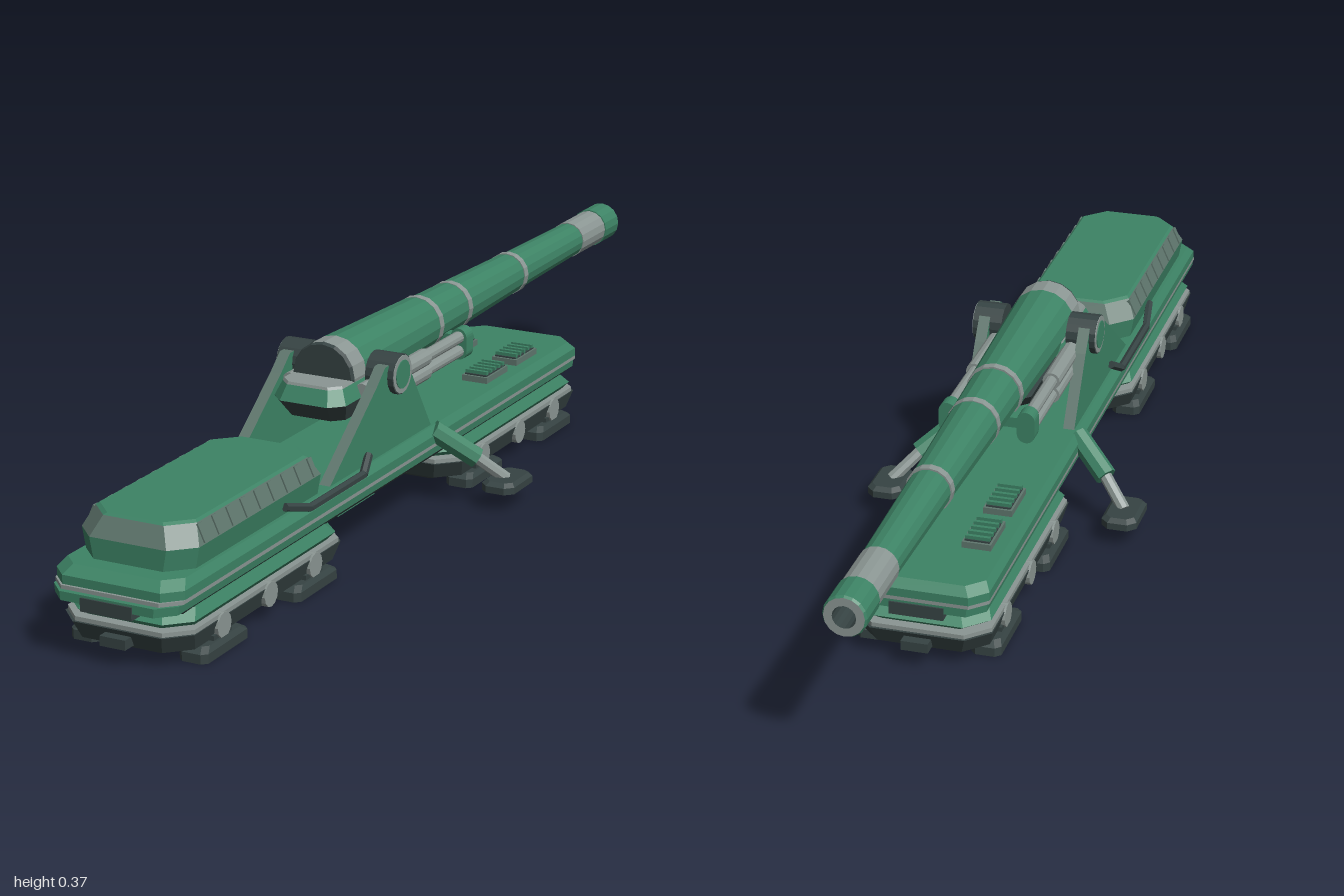
import * as THREE from 'three';

const mat = (name, color) => Object.assign(new THREE.MeshStandardMaterial({ color }), { name });

export function createModel() {
  const root = new THREE.Group();
  root.name = 'heavyHoverArtillery';
  const green = mat('armour green', 0x3d8365);
  const dark = mat('dark metal', 0x364343);
  const gray = mat('light metal', 0x8b9693);
  const mid = mat('grille metal', 0x5f766d);

  // Faceted mesh
  function add(name, geo, material, parent = root) {
    const g = geo.index ? geo.toNonIndexed() : geo;
    g.computeVertexNormals();
    const m = new THREE.Mesh(g, material);
    m.name = name;
    parent.add(m);
    return m;
  }
  // Stacked levels [y, halfWidth, zBack, zFront, cornerCut]
  function hull(name, levels, material, parent) {
    const rings = levels.map(([y, h, a, b, c]) => [
      [h, b - c], [h - c, b], [c - h, b], [-h, b - c], [-h, a + c], [c - h, a], [h - c, a], [h, a + c],
    ].map(([x, z]) => [x, y, z]));
    const pos = [];
    const tri = (...p) => p.forEach((v) => pos.push(...v));
    for (let k = 0; k < rings.length; k++) {
      const r = rings[k], up = rings[k + 1];
      for (let i = 0; i < 8; i++) {
        const j = (i + 1) % 8;
        if (up) { tri(r[i], up[i], r[j]); tri(r[j], up[i], up[j]); }
        if (k === 0 && i > 0 && i < 7) tri(r[0], r[i], r[j]);
        if (!up && i > 0 && i < 7) tri(r[0], r[j], r[i]);
      }
    }
    const g = new THREE.BufferGeometry();
    g.setAttribute('position', new THREE.Float32BufferAttribute(pos, 3));
    return add(name, g, material, parent);
  }
  function box(name, w, h, d, x, y, z, material, parent) {
    const m = add(name, new THREE.BoxGeometry(w, h, d), material, parent);
    m.position.set(x, y, z);
    return m;
  }
  // Cylinder between two points
  function rod(name, a, b, ra, rb, material, sides = 12) {
    const p = new THREE.Vector3(...a), q = new THREE.Vector3(...b), d = q.clone().sub(p);
    const m = add(name, new THREE.CylinderGeometry(rb, ra, d.length(), sides), material);
    m.position.copy(p).add(q).multiplyScalar(0.5);
    m.quaternion.setFromUnitVectors(new THREE.Vector3(0, 1, 0), d.normalize());
    return m;
  }
  // Plate with a (z, y) outline, running from x0 to x1
  function plate(name, pts, x0, x1, materials) {
    const s = new THREE.Shape(pts.map(([z, y]) => new THREE.Vector2(z, y)));
    const g = new THREE.ExtrudeGeometry(s, { depth: x1 - x0, bevelEnabled: false });
    return add(name, g.rotateY(-Math.PI / 2).translate(x1, 0, 0), materials);
  }

  // Main deck layers
  hull('deckUnderside', [[0.09, 0.1, -0.58, 0.95, 0.03], [0.108, 0.12, -0.61, 0.985, 0.03]], dark);
  hull('lowerDeck', [[0.108, 0.12, -0.62, 1, 0.03], [0.124, 0.122, -0.62, 1, 0.03]], green);
  hull('deckTrim', [[0.124, 0.125, -0.62, 0.99, 0.03], [0.131, 0.125, -0.62, 0.99, 0.03]], gray);
  hull('upperDeck', [[0.131, 0.125, -0.62, 0.985, 0.03], [0.147, 0.125, -0.62, 0.985, 0.03],
    [0.162, 0.115, -0.605, 0.965, 0.03]], green);
  box('bellyPlate', 0.19, 0.008, 0.14, 0, 0.088, 0.3, green);
  for (const z of [0.985, -0.605]) box('endPanel', 0.1, 0.024, 0.036, 0, 0.108, z, dark);

  // Front engine housing with ribbed shoulders
  hull('housingBase', [[0.162, 0.108, 0.43, 0.93, 0.04], [0.2, 0.115, 0.43, 0.93, 0.04]], green);
  hull('housingShoulder', [[0.2, 0.115, 0.43, 0.93, 0.04], [0.235, 0.099, 0.45, 0.91, 0.04]], mid);
  hull('housingRoof', [[0.235, 0.099, 0.45, 0.91, 0.04], [0.239, 0.094, 0.455, 0.905, 0.04]], green);
  for (const s of [1, -1]) for (let i = 0; i < 9; i++) {
    const rib = box('housingRib', 0.008, 0.034, 0.014, s * 0.106, 0.217, 0.49 + i * 0.047, mid);
    rib.rotation.z = s * 0.43;
  }

  // Two running units under the deck
  for (const c of [0.675, -0.325]) {
    const unit = new THREE.Group();
    unit.name = 'runningUnit';
    unit.position.z = c;
    root.add(unit);
    hull('unitBelly', [[0.01, 0.08, -0.24, 0.24, 0.03], [0.028, 0.118, -0.28, 0.28, 0.04],
      [0.06, 0.127, -0.295, 0.295, 0.04]], dark, unit);
    hull('unitTrim', [[0.06, 0.125, -0.29, 0.29, 0.04], [0.068, 0.125, -0.29, 0.29, 0.04]], gray, unit);
    hull('unitTop', [[0.068, 0.112, -0.27, 0.27, 0.04], [0.08, 0.122, -0.285, 0.285, 0.04],
      [0.098, 0.112, -0.265, 0.265, 0.04]], green, unit);
    for (const s of [1, -1]) {
      box('coupler', 0.05, 0.018, 0.03, 0, 0.042, s * 0.295, dark, unit);
      for (const z of [-0.16, 0, 0.16]) {
        const hub = add('wheelHub', new THREE.CylinderGeometry(0.023, 0.023, 0.016, 12).rotateZ(Math.PI / 2), gray, unit);
        hub.position.set(s * 0.121, 0.046, z);
      }
      for (const z of [-0.16, 0.16]) {
        const pad = hull('runningPad', [[0, 0.028, -0.075, 0.075, 0.01], [0.017, 0.028, -0.075, 0.075, 0.01],
          [0.026, 0.022, -0.06, 0.06, 0.01]], dark, unit);
        pad.position.set(s * 0.107, 0, z);
        box('padBracket', 0.022, 0.014, 0.06, s * 0.114, 0.028, z, dark, unit);
      }
    }
  }

  for (const s of [1, -1]) {
    // Gun side frames and trunnions
    const xs = [s * 0.088, s * 0.11].sort((a, b) => a - b);
    plate('sideFrame', [[0.43, 0.16], [0.25, 0.295], [0.215, 0.325], [0.14, 0.325], [0.11, 0.285],
      [0.01, 0.13], [0.43, 0.13]], xs[0], xs[1], [green, mid]);
    rod('trunnion', [s * 0.064, 0.302, 0.17], [s * 0.121, 0.302, 0.17], 0.038, 0.038, dark, 16);
    rod('trunnionRing', [s * 0.12, 0.302, 0.17], [s * 0.1225, 0.302, 0.17], 0.036, 0.036, gray, 16);
    rod('trunnionCap', [s * 0.122, 0.302, 0.17], [s * 0.124, 0.302, 0.17], 0.027, 0.027, green, 16);

    // Paired recoil cylinders and their shared end cap
    for (const y of [0.251, 0.279]) {
      rod('recoilSleeve', [s * 0.075, y, 0.24], [s * 0.075, y, -0.01], 0.017, 0.017, gray);
      rod('recoilRod', [s * 0.075, y, -0.01], [s * 0.075, y, -0.17], 0.012, 0.012, gray);
    }
    const cap = new THREE.Shape();
    cap.absarc(0, 0.279, 0.017, 0, Math.PI, false);
    cap.absarc(0, 0.251, 0.017, Math.PI, Math.PI * 2, false);
    const capGeo = new THREE.ExtrudeGeometry(cap, { depth: 0.03, bevelEnabled: false, curveSegments: 6 });
    add('recoilCap', capGeo, green).position.set(s * 0.075, 0, -0.185);
    box('recoilLink', 0.04, 0.02, 0.025, s * 0.052, 0.272, -0.17, green);

    // Outriggers
    rod('outriggerSleeve', [s * 0.115, 0.153, 0.032], [s * 0.185, 0.095, -0.013], 0.021, 0.021, green, 8);
    rod('outriggerRod', [s * 0.18, 0.1, -0.01], [s * 0.23, 0.05, -0.05], 0.012, 0.012, gray, 8);
    const foot = hull('outriggerFoot', [[0.035, 0.034, -0.055, 0.055, 0.015], [0.048, 0.034, -0.055, 0.055, 0.015],
      [0.055, 0.027, -0.045, 0.045, 0.012]], dark);
    foot.position.set(s * 0.231, 0, -0.052);

    // Side hand rails, leaning in at both ends
    const rail = [[0.115, 0.179, 0.6], [0.126, 0.158, 0.53], [0.126, 0.158, 0.33], [0.115, 0.181, 0.29]];
    for (let i = 0; i < 3; i++) {
      const [a, b] = [rail[i], rail[i + 1]].map(([x, y, z]) => [s * x, y, z]);
      rod('handRail', a, b, 0.008, 0.008, dark, 6);
    }

    // Rear deck vents
    for (const z of [-0.292, -0.426]) {
      box('ventFrame', 0.054, 0.014, 0.094, s * 0.066, 0.167, z, mid);
      box('ventGrille', 0.046, 0.004, 0.084, s * 0.066, 0.175, z, dark);
      for (let i = -2; i <= 2; i++) box('ventSlat', 0.046, 0.009, 0.007, s * 0.066, 0.179, z + i * 0.018, green);
    }
  }

  // Barrel, as sections from rear to front radius
  const axis = 0.304;
  const section = (name, z0, r0, z1, r1, m) => rod(name, [0, axis, z0], [0, axis, z1], r0, r1, m, 16);
  section('breechFace', 0.253, 0.06, 0.245, 0.063, dark);
  section('breechCollar', 0.245, 0.063, 0.2, 0.063, gray);
  section('barrelJacket', 0.2, 0.063, -0.13, 0.053, green);
  section('barrelMiddle', -0.13, 0.051, -0.53, 0.041, green);
  section('barrelFore', -0.53, 0.04, -0.83, 0.035, green);
  section('muzzleSleeve', -0.82, 0.037, -0.93, 0.037, gray);
  for (const [z, r] of [[-0.13, 0.054], [-0.265, 0.049], [-0.53, 0.043]]) {
    section('barrelBand', z + 0.008, r, z - 0.008, r, gray);
  }
  // Hollow muzzle
  const muzzle = (name, pts, m) => add(name, new THREE.LatheGeometry(
    pts.map(([r, z]) => new THREE.Vector2(r, z)), 16).rotateX(Math.PI / 2), m).position.set(0, axis, 0);
  muzzle('muzzle', [[0.036, -1], [0.039, -0.995], [0.039, -0.93], [0.03, -0.93]], green);
  muzzle('muzzleFace', [[0.021, -1], [0.036, -1]], gray);
  muzzle('bore', [[0, -0.935], [0.021, -0.935], [0.021, -1]].reverse().map(([r, z]) => [r, z]).reverse(), dark);

  // Breech block and cradle
  hull('breechLower', [[0.235, 0.06, 0.1, 0.295, 0.02], [0.27, 0.074, 0.1, 0.325, 0.025]], dark);
  hull('breechUpper', [[0.27, 0.074, 0.1, 0.325, 0.025], [0.298, 0.062, 0.1, 0.31, 0.02]], green);
  hull('breechTop', [[0.298, 0.062, 0.1, 0.31, 0.02], [0.303, 0.06, 0.1, 0.308, 0.02]], gray);
  hull('cradle', [[0.24, 0.04, -0.05, 0.2, 0.015], [0.275, 0.055, -0.09, 0.2, 0.015]], dark);
  rod('cradleRod', [0, 0.259, -0.05], [0, 0.259, -0.3], 0.01, 0.01, gray, 8);

  return root;
}
